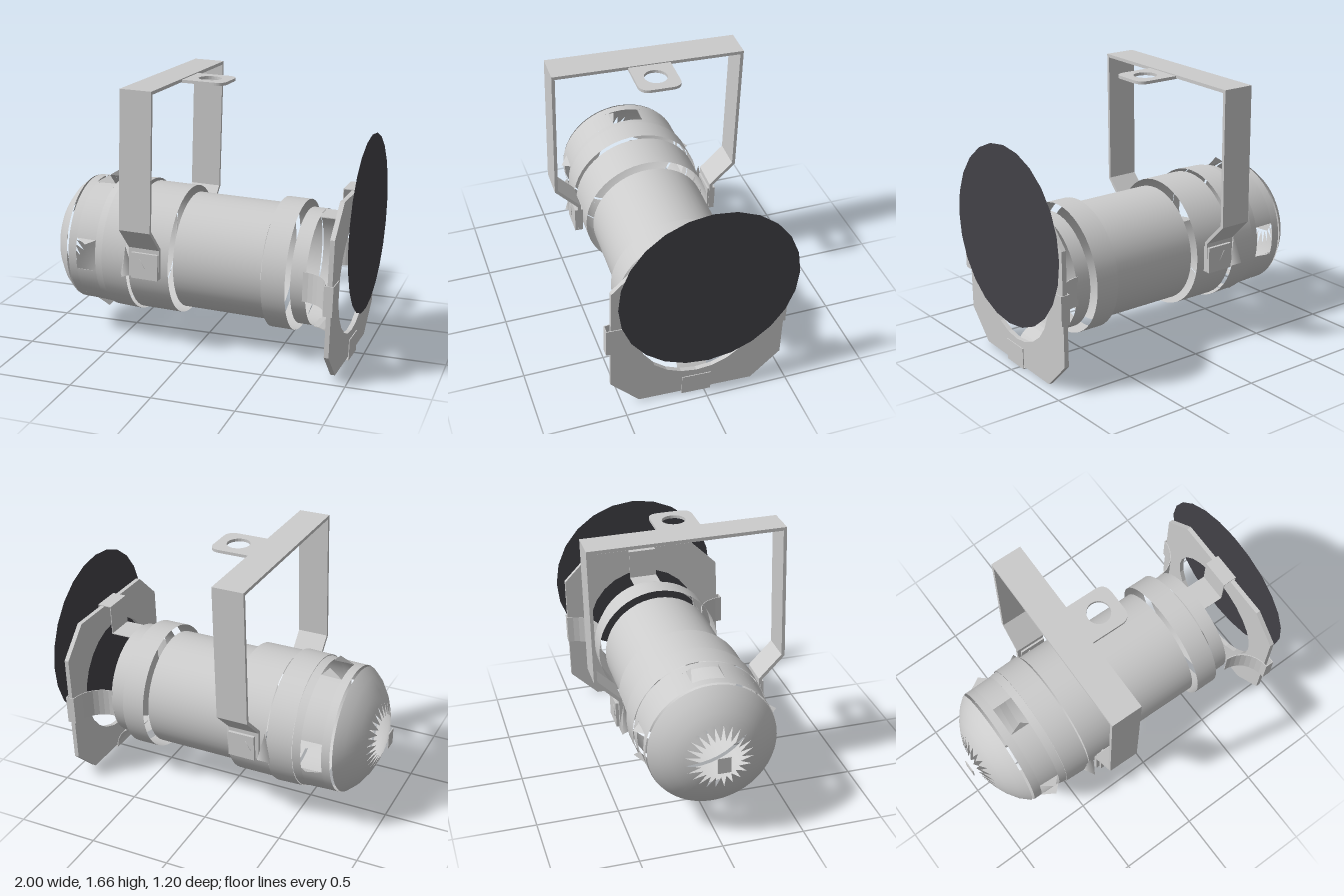
import * as THREE from 'three';

const grey = new THREE.MeshStandardMaterial({ color: 0xcccccc });
const greyDouble = new THREE.MeshStandardMaterial({ color: 0xcccccc, side: THREE.DoubleSide });
const dark = new THREE.MeshStandardMaterial({ color: 0x434248, side: THREE.DoubleSide });

function add(parent, name, geometry, material = grey) {
  const mesh = new THREE.Mesh(geometry, material);
  mesh.name = name;
  parent.add(mesh);
  return mesh;
}

// Open tube lying along x, from x0 (radius r0) to x1 (radius r1)
function band(x0, x1, r0, r1 = r0, start = 0, length = Math.PI * 2) {
  const segments = Math.max(6, Math.round(length * 7.7));
  return new THREE.CylinderGeometry(r1, r0, x1 - x0, segments, 1, true, start, length)
    .rotateZ(-Math.PI / 2).translate((x0 + x1) / 2, 0, 0);
}

// Bent metal strip: a mitred path in xy, extruded to a width along z
function strip(path, thickness, width) {
  const pts = path.map(([x, y]) => new THREE.Vector2(x, y));
  const normal = (a, b) => new THREE.Vector2(a.y - b.y, b.x - a.x).normalize();
  const last = pts.length - 1;
  const inner = pts.map((p, i) => {
    const n0 = normal(pts[Math.max(i - 1, 0)], pts[Math.max(i, 1)]);
    const n1 = normal(pts[Math.min(i, last - 1)], pts[Math.min(i + 1, last)]);
    const m = n0.clone().add(n1).normalize();
    return p.clone().addScaledVector(m, -thickness / m.dot(n0));
  });
  const shape = new THREE.Shape([...pts, ...inner.reverse()]);
  return new THREE.ExtrudeGeometry(shape, { depth: width, bevelEnabled: false })
    .translate(0, 0, -width / 2);
}

// Rounded rear cap with a toothed opening
function domeGeometry() {
  const profile = [[0.12, -0.956], [0.21, -0.923], [0.27, -0.893], [0.34, -0.842], [0.388, -0.787]];
  const segments = 48;
  const geo = new THREE.LatheGeometry(profile.map(([r, x]) => new THREE.Vector2(r, x)), segments);
  const pos = geo.attributes.position;
  for (let i = 1; i < segments; i += 2) {
    const k = i * profile.length;
    pos.setXYZ(k, pos.getX(k) * 1.7, -0.926, pos.getZ(k) * 1.7);
  }
  return geo.rotateZ(-Math.PI / 2);
}

function buildCan(lamp) {
  const can = new THREE.Group();
  can.name = 'can';
  lamp.add(can);
  add(can, 'rearDome', domeGeometry(), greyDouble);
  add(can, 'rearRim', band(-0.772, -0.72, 0.393), greyDouble);
  // Four vent windows are left open between these panels, each with two bent flaps
  const flap = new THREE.Shape([[-0.72, 0], [-0.59, 0], [-0.64, 0.055]].map(([x, y]) => new THREE.Vector2(x, y)));
  for (let k = 0; k < 4; k++) {
    add(can, 'ventPanel', band(-0.72, -0.59, 0.393, 0.398, k * Math.PI / 2 + 0.25, Math.PI / 2 - 0.5), greyDouble);
    for (const s of [1, -1]) {
      add(can, 'ventFlap', new THREE.ShapeGeometry(flap).rotateX(s > 0 ? 1.9 : 1.24)
        .translate(0, s * 0.098, 0.382).rotateX(k * Math.PI / 2), greyDouble);
    }
  }
  add(can, 'ventCollar', band(-0.59, -0.54, 0.398, 0.405), greyDouble);
  add(can, 'rearBand', band(-0.54, -0.38, 0.41, 0.415), greyDouble);
  add(can, 'yokeBand', band(-0.368, -0.11, 0.4), greyDouble);
  add(can, 'mainTube', band(-0.092, 0.46, 0.36), greyDouble);
  add(can, 'frontBand', band(0.475, 0.62, 0.4), greyDouble);
  add(can, 'frontRim', band(0.64, 0.73, 0.355), greyDouble);
}

function buildYoke(lamp) {
  const yoke = new THREE.Group();
  yoke.name = 'yoke';
  yoke.position.x = -0.245;
  lamp.add(yoke);
  const half = [[0.445, -0.07], [0.445, 0.11], [0.588, 0.255], [0.588, 1.09]];
  const path = [...half.map(([z, y]) => [-z, y]), ...half.reverse()];
  add(yoke, 'yokeStrap', strip(path, 0.02, 0.195).rotateY(-Math.PI / 2));

  // Hanging tab with a round hole
  const tab = new THREE.Shape();
  tab.moveTo(0.09, -0.13);
  tab.lineTo(0.29, -0.13);
  tab.quadraticCurveTo(0.36, -0.13, 0.36, -0.06);
  tab.lineTo(0.36, 0.06);
  tab.quadraticCurveTo(0.36, 0.13, 0.29, 0.13);
  tab.lineTo(0.09, 0.13);
  tab.closePath();
  const hole = new THREE.Path();
  hole.absarc(0.228, 0, 0.07, 0, Math.PI * 2, true);
  tab.holes.push(hole);
  add(yoke, 'hangingTab', new THREE.ExtrudeGeometry(tab, { depth: 0.018, bevelEnabled: false })
    .rotateX(-Math.PI / 2).translate(0, 1.066, 0));

  // Pivot blocks, bolts and locking wings on both sides
  for (const s of [1, -1]) {
    add(yoke, 'pivotBlock', new THREE.BoxGeometry(0.17, 0.16, 0.05).translate(0.01, 0.005, s * 0.438));
    add(yoke, 'pivotBolt', new THREE.CylinderGeometry(0.04, 0.04, 0.07, 3)
      .rotateX(Math.PI / 2).rotateZ(Math.PI).translate(-0.02, 0.01, s * 0.432));
    add(yoke, 'lockingWing', new THREE.ConeGeometry(0.05, 0.18, 3)
      .translate(-0.13, 0.015, s * 0.425));
  }
}

function buildFilterFrame(lamp) {
  const frame = new THREE.Group();
  frame.name = 'filterFrame';
  frame.position.y = -0.005;
  lamp.add(frame);
  const w = 0.525, c = 0.35;
  const plate = new THREE.Shape([[w, c], [c, w], [-c, w], [-w, c], [-w, -c], [-c, -w], [c, -w], [w, -c]]
    .map(([x, y]) => new THREE.Vector2(x, y)));
  const hole = new THREE.Path();
  hole.absarc(0, 0, 0.37, 0, Math.PI * 2, true);
  plate.holes.push(hole);
  add(frame, 'framePlate', new THREE.ExtrudeGeometry(plate, { depth: 0.028, bevelEnabled: false, curveSegments: 12 })
    .rotateY(Math.PI / 2).translate(0.907, 0, 0));

  // One square clip on top, three curved ones around
  const clip = [[0.95, 0.532], [0.95, 0.4]];
  const square = [[0.72, 0.345], [0.858, 0.345], [0.858, 0.532], ...clip];
  const curve = new THREE.CubicBezierCurve(
    new THREE.Vector2(0.72, 0.35), new THREE.Vector2(0.81, 0.35),
    new THREE.Vector2(0.89, 0.42), new THREE.Vector2(0.895, 0.532));
  const curved = [...curve.getPoints(8).map((p) => [p.x, p.y]), ...clip];
  for (let k = 0; k < 4; k++) {
    const arm = add(frame, 'frameClip', strip(k ? curved : square, 0.005, 0.18).rotateX(k * Math.PI / 2));
    // the clip on the left side stands a little further out
    if (k === 1) arm.position.z = 0.025;
  }
}

export function createModel() {
  const model = new THREE.Group();
  model.name = 'stageLamp';

  // Lamp hangs very slightly askew
  const lamp = new THREE.Group();
  lamp.name = 'lamp';
  lamp.position.set(0, 0.556, 0.016);
  lamp.rotation.set(-0.02, -0.024, -0.019);
  model.add(lamp);
  buildCan(lamp);
  buildYoke(lamp);
  buildFilterFrame(lamp);

  // Flat dark filter in front, small plate behind the rear opening
  add(model, 'colourFilter', new THREE.CircleGeometry(0.538, 24).rotateY(Math.PI / 2).translate(1, 0.836, 0), dark);
  add(model, 'rearPlate', new THREE.BoxGeometry(0.006, 0.1, 0.08).translate(-0.997, 0.56, 0));
  return model;
}
